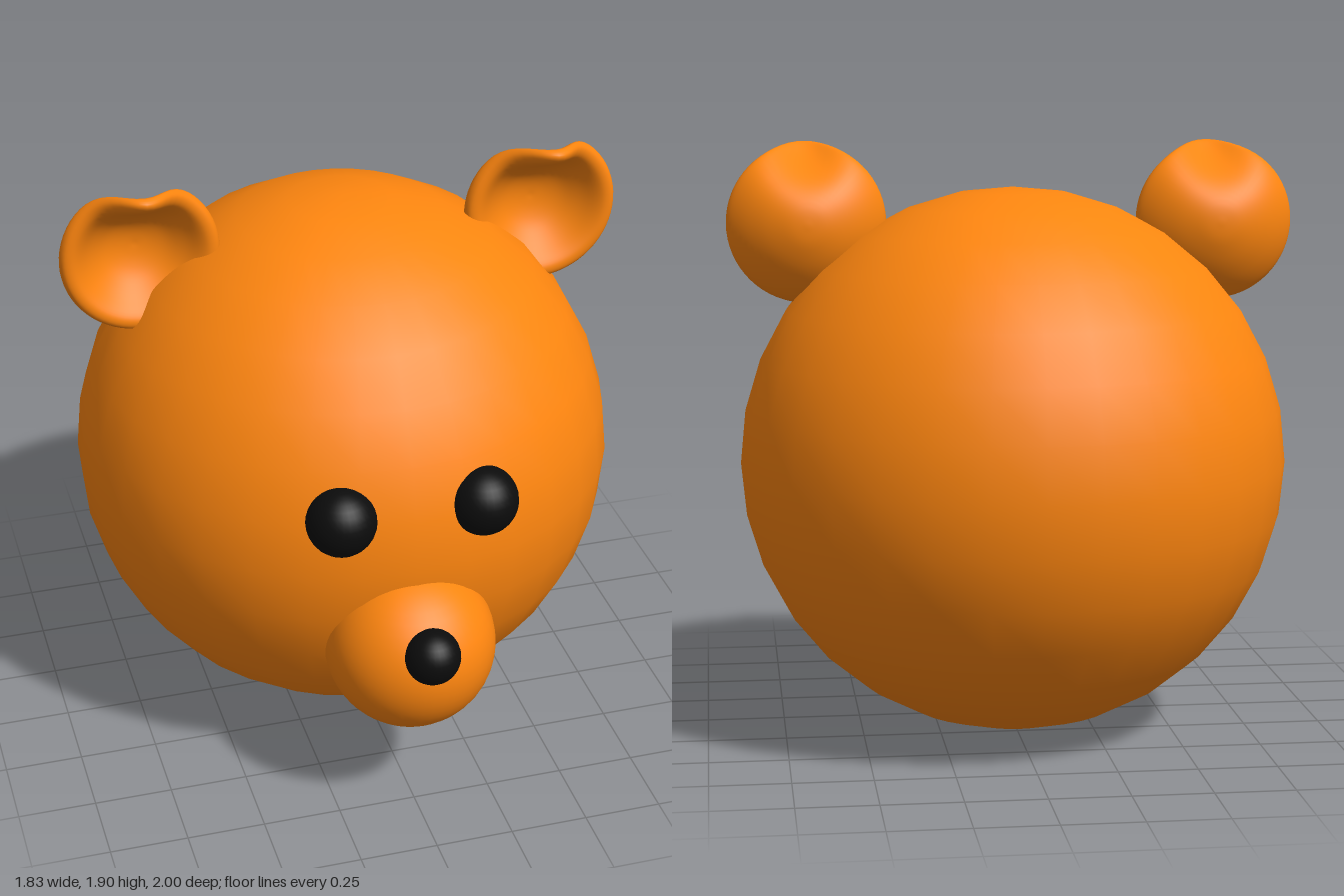
import * as THREE from 'three';
import { mergeVertices } from 'three/addons/utils/BufferGeometryUtils.js';

const fur = new THREE.MeshStandardMaterial({ color: 0xff860f });
const black = new THREE.MeshStandardMaterial({ color: 0x0c0c0c });

function ball(name, radius, position, material, segments = 48) {
  const mesh = new THREE.Mesh(new THREE.SphereGeometry(radius, segments, segments / 2), material);
  mesh.name = name;
  mesh.position.set(...position);
  return mesh;
}

// Cupped ear: a thick bowl opening to the front, its top rim pulled forward
function earGeometry() {
  const profile = new THREE.SplineCurve([
    [0, -0.232], [0.06, -0.226], [0.13, -0.201], [0.19, -0.165], [0.235, -0.125],
    [0.255, -0.094], [0.246, -0.068], [0.222, -0.062], [0.195, -0.075],
    [0.15, -0.115], [0.1, -0.15], [0.05, -0.168], [0, -0.174],
  ].map(([r, z]) => new THREE.Vector2(r, z)));
  const points = profile.getPoints(48);
  points.forEach((p) => { p.x = Math.max(0, p.x); });

  let geometry = new THREE.LatheGeometry(points, 64);
  geometry.rotateX(Math.PI / 2);
  const pos = geometry.attributes.position;
  for (let i = 0; i < pos.count; i++) {
    const d2 = pos.getX(i) ** 2 + (pos.getY(i) - 0.255) ** 2;
    pos.setZ(i, pos.getZ(i) + 0.14 * Math.exp(-d2 / (2 * 0.075 ** 2)));
  }
  // Weld the seam so the normals stay smooth
  geometry.deleteAttribute('uv');
  geometry.deleteAttribute('normal');
  geometry = mergeVertices(geometry, 1e-5);
  geometry.computeVertexNormals();
  return geometry;
}

export function createModel() {
  const model = new THREE.Group();
  model.name = 'bearHead';

  // Head, muzzle and nose
  model.add(
    ball('head', 0.88, [0, 0.885, -0.12], fur, 32),
    ball('muzzle', 0.27, [0, 0.578, 0.68], fur),
    ball('nose', 0.088, [0, 0.678, 0.912], black, 32),
  );

  // Paired eyes and ears
  const earShape = earGeometry();
  for (const [side, s] of [['left', 1], ['right', -1]]) {
    model.add(ball(side + 'Eye', 0.11, [s * 0.226, 1.07, 0.69], black, 32));
    const ear = new THREE.Mesh(earShape, fur);
    ear.name = side + 'Ear';
    ear.position.set(s * 0.66, 1.652, 0);
    model.add(ear);
  }
  return model;
}
